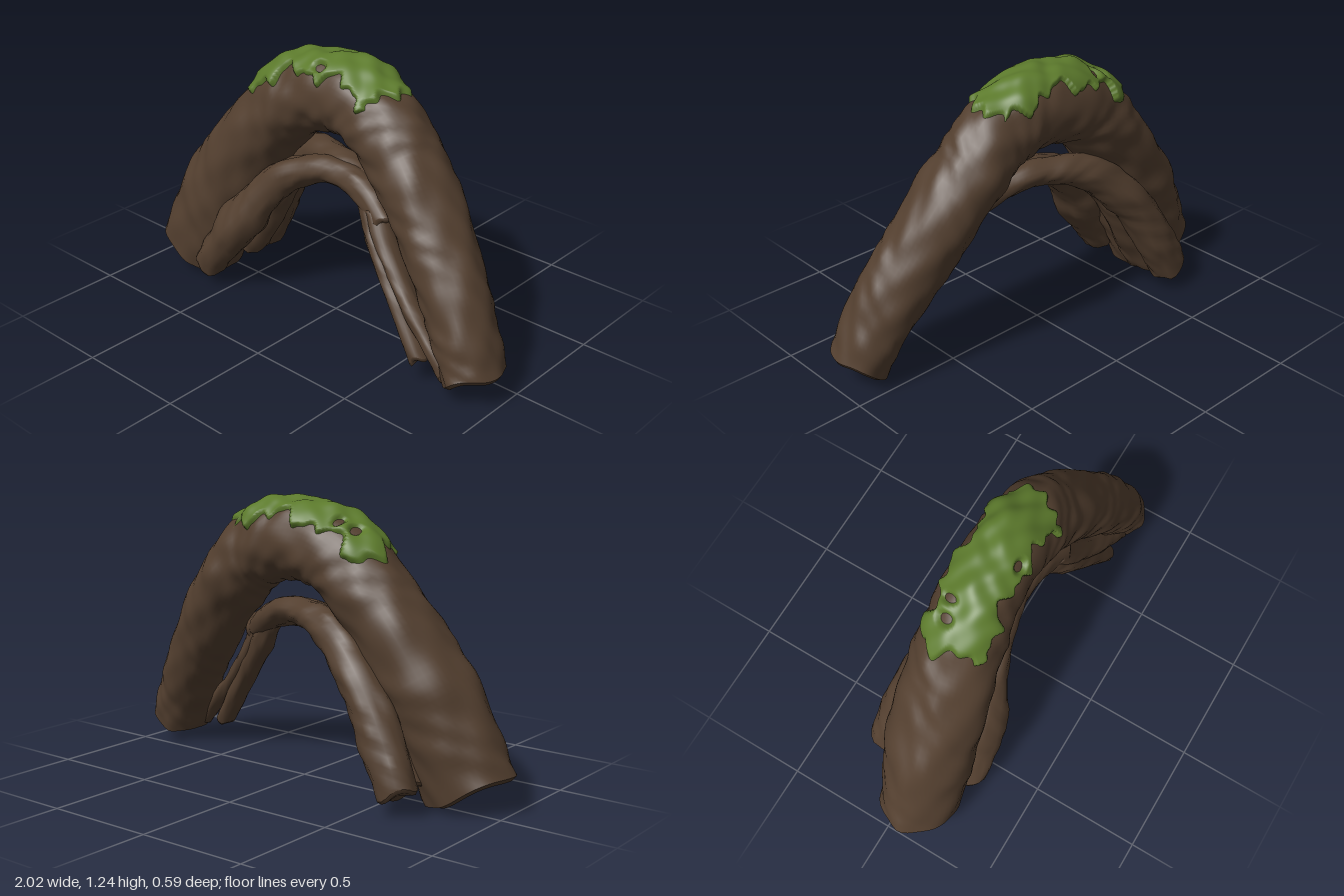
import * as THREE from 'three';

const bark = new THREE.MeshStandardMaterial({ color: 0x533f2f });
bark.name = 'bark';
const moss = new THREE.MeshStandardMaterial({ color: 0x5c7a2c });
moss.name = 'moss';

// Irregular bumps around and along a root, roughly -1..1
function bumps(u, a, len, seed) {
  const v = u * len;
  return 0.3 * Math.sin(2 * a + 5 * v + seed)
    + 0.24 * Math.sin(3 * a - 9 * v + seed * 2.3)
    + 0.22 * Math.sin(5 * a + 4 * v + 2 * Math.sin(7 * v + seed))
    + 0.2 * Math.sin(a + 19 * v + seed * 1.7)
    + 0.24 * Math.sin(4 * a + 31 * v + 2 * Math.sin(3 * a) + seed)
    + 0.2 * Math.sin(7 * a - 23 * v + seed)
    + 0.2 * Math.sin(3 * a + 47 * v + 2 * Math.sin(2 * a + 11 * v));
}

// A root follows points [x, y, z, radius in the arch plane, radius in depth].
// Returns a function giving a surface point at (u along, a around, offset outwards).
function rootSurface(points, rough, seed) {
  const path = new THREE.CatmullRomCurve3(points.map(p => new THREE.Vector3(p[0], p[1], p[2])));
  const radii = new THREE.CatmullRomCurve3(points.map(p => new THREE.Vector3(p[3], p[4] ?? p[3], 0)));
  const len = path.getLength();
  const at = (u, a, offset = 0, scale = 1, slide = 0) => {
    const c = path.getPoint(u), r = radii.getPoint(u), t = path.getTangent(u);
    const n = new THREE.Vector3(0, 0, 1).cross(t).normalize();
    const b = new THREE.Vector3().crossVectors(t, n);
    const k = scale * (1 + rough * bumps(u, a, len, seed));
    return c.addScaledVector(n, Math.cos(a) * (r.x * k + offset))
      .addScaledVector(b, Math.sin(a) * (r.y * k + offset))
      .addScaledVector(t, slide);
  };
  at.len = len;
  return at;
}

function makeGeometry(pos, idx) {
  const g = new THREE.BufferGeometry();
  g.setAttribute('position', new THREE.Float32BufferAttribute(pos, 3));
  g.setIndex(idx);
  g.computeVertexNormals();
  return g;
}

// Closed tube with broken-off, slightly uneven ends
function rootMesh(name, surface, around) {
  const along = Math.ceil(surface.len * 40);
  const pos = [], idx = [];
  const push = p => pos.push(p.x, p.y, p.z) / 3 - 1;
  for (let i = 0; i <= along; i++) {
    for (let j = 0; j < around; j++) {
      const a = j / around * Math.PI * 2;
      const end = i === 0 ? -1 : i === along ? 1 : 0;
      push(surface(i / along, a, 0, 1, end * 0.012 * Math.sin(3 * a + 1)));
    }
  }
  for (let i = 0; i < along; i++) {
    for (let j = 0; j < around; j++) {
      const k = (j + 1) % around;
      const p = i * around + j, q = i * around + k;
      idx.push(p, q, p + around, q, q + around, p + around);
    }
  }
  for (const u of [0, 1]) {
    const dir = u ? 1 : -1;
    const rings = [[1, 0], [0.86, 0.014], [0.45, 0.01]].map(([s, out]) => {
      const first = pos.length / 3;
      for (let j = 0; j < around; j++) {
        const a = j / around * Math.PI * 2;
        push(surface(u, a, 0, s, dir * (out + 0.012 * s * Math.sin(3 * a + 1))));
      }
      return first;
    });
    const centre = push(surface(u, 0, 0, 0, dir * 0.006));
    const tri = (a, b, c) => u ? idx.push(a, b, c) : idx.push(a, c, b);
    for (let j = 0; j < around; j++) {
      const k = (j + 1) % around;
      for (let r = 0; r < 2; r++) {
        const A = rings[r], B = rings[r + 1];
        tri(A + j, A + k, B + j);
        tri(A + k, B + k, B + j);
      }
      tri(rings[2] + j, rings[2] + k, centre);
    }
  }
  const mesh = new THREE.Mesh(makeGeometry(pos, idx), bark);
  mesh.name = name;
  return mesh;
}

// Moss sheet that sinks into the bark at its ragged edge and in a few holes
function mossMesh(surface) {
  const nu = 110, na = 90, u0 = 0.25, u1 = 0.6, span = 1.4;
  const holes = [[0.435, 0.68, 0.008, 0.1], [0.33, -0.3, 0.005, 0.15], [0.355, -0.42, 0.005, 0.15]];
  const pos = [], idx = [];
  for (let i = 0; i <= nu; i++) {
    for (let j = 0; j <= na; j++) {
      const u = u0 + (u1 - u0) * i / nu, a = span * (2 * j / na - 1);
      const side = a > 0 ? 0 : 2.1;
      const half = 0.9 + 0.14 * Math.sin(62 * u + side) + 0.12 * Math.sin(131 * u + side * 2) + 0.05 * Math.sin(260 * u);
      const lo = 0.289 + 0.01 * Math.sin(5 * a) + 0.006 * Math.sin(11 * a + 1);
      const hi = 0.557 + 0.009 * Math.sin(4 * a + 2) + 0.006 * Math.sin(13 * a);
      let d = Math.min(half - Math.abs(a), (u - lo) * 9, (hi - u) * 9);
      for (const [hu, ha, ru, ra] of holes) {
        d = Math.min(d, (Math.hypot((u - hu) / ru, (a - ha) / ra) - 1) * 0.09);
      }
      const rise = THREE.MathUtils.smoothstep(d, -0.05, 0.09);
      const lump = 0.004 * Math.sin(70 * u + 3 * a) + 0.003 * Math.sin(9 * a - 110 * u);
      const p = surface(u, a, -0.012 + (0.03 + lump) * rise);
      pos.push(p.x, p.y, p.z);
    }
  }
  for (let i = 0; i < nu; i++) {
    for (let j = 0; j < na; j++) {
      const p = i * (na + 1) + j, q = p + na + 1;
      idx.push(p, p + 1, q, p + 1, q + 1, q);
    }
  }
  const mesh = new THREE.Mesh(makeGeometry(pos, idx), moss);
  mesh.name = 'mossPatch';
  return mesh;
}

export function createModel() {
  const model = new THREE.Group();
  model.name = 'mossyRootArch';

  // Thick arched trunk
  const trunk = rootSurface([
    [-0.82, 0.11, 0.07, 0.2, 0.18], [-0.65, 0.46, 0.04, 0.2, 0.2],
    [-0.43, 0.79, 0.01, 0.18, 0.19], [-0.22, 1.01, -0.01, 0.175, 0.175],
    [0.02, 1.08, -0.02, 0.17, 0.165], [0.24, 1.02, -0.01, 0.165, 0.165],
    [0.4, 0.87, 0, 0.16, 0.17], [0.605, 0.61, 0.05, 0.15, 0.165],
    [0.77, 0.365, 0.105, 0.138, 0.155], [0.885, 0.13, 0.145, 0.122, 0.145],
  ], 0.065, 1.3);
  model.add(rootMesh('trunk', trunk, 48), mossMesh(trunk));

  // Thinner roots beneath the arch
  const roots = {
    frontRoot: [[-0.615, 0.125, 0.21, 0.07, 0.075], [-0.5, 0.29, 0.19, 0.085], [-0.35, 0.5, 0.14, 0.085],
      [-0.2, 0.67, 0.09, 0.075], [0, 0.745, 0.05, 0.062], [0.2, 0.725, 0.06, 0.06], [0.36, 0.63, 0.1, 0.055]],
    backRoot: [[-0.645, 0.12, -0.215, 0.09, 0.08], [-0.55, 0.32, -0.195, 0.1, 0.085], [-0.42, 0.53, -0.155, 0.09],
      [-0.23, 0.71, -0.1, 0.08], [-0.05, 0.765, -0.04, 0.06, 0.07], [0.14, 0.75, 0.02, 0.058, 0.065], [0.33, 0.65, 0.08, 0.05]],
    middleRoot: [[-0.62, 0.12, -0.08, 0.07, 0.08], [-0.52, 0.31, -0.08, 0.085],
      [-0.39, 0.53, -0.08, 0.075], [-0.21, 0.71, -0.07, 0.05]],
    lowerStrand: [[0.24, 0.69, 0.07, 0.045], [0.34, 0.56, 0.11, 0.05, 0.06],
      [0.5, 0.35, 0.165, 0.042, 0.055], [0.645, 0.145, 0.2, 0.042, 0.05]],
    upperStrand: [[0.31, 0.67, 0.09, 0.05], [0.4, 0.54, 0.12, 0.04, 0.055], [0.54, 0.375, 0.16, 0.038, 0.05],
      [0.68, 0.235, 0.185, 0.04, 0.05], [0.79, 0.13, 0.2, 0.045]],
  };
  Object.entries(roots).forEach(([name, points], i) => {
    model.add(rootMesh(name, rootSurface(points, 0.12, 2 + i * 1.9), 20));
  });
  return model;
}
